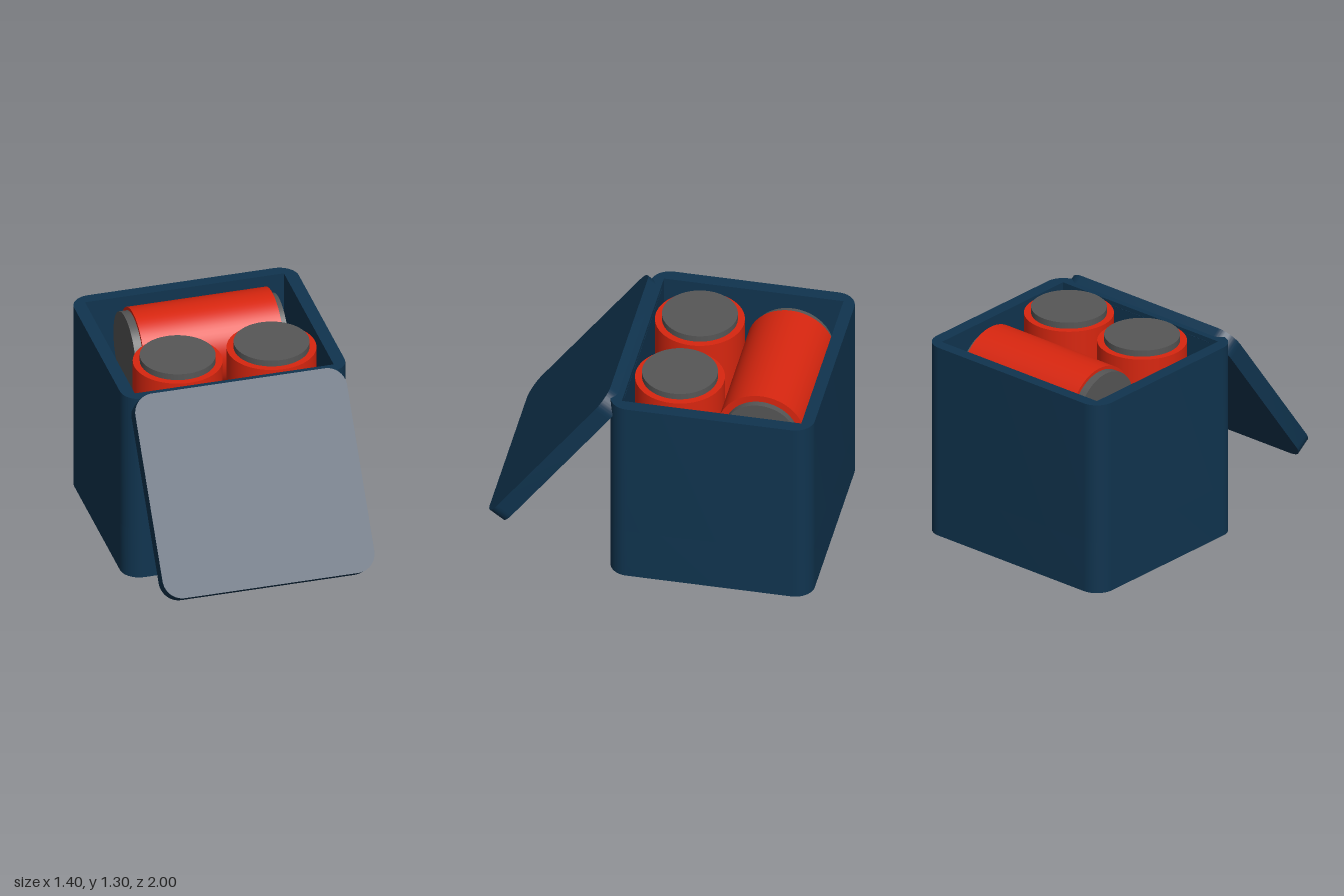
import * as THREE from 'three';
import { toCreasedNormals } from 'three/addons/utils/BufferGeometryUtils.js';

const navy = new THREE.MeshStandardMaterial({ name: 'navy', color: 0x10344f });
const red = new THREE.MeshStandardMaterial({ name: 'red', color: 0xd8260f });
const grey = new THREE.MeshStandardMaterial({ name: 'grey', color: 0x565656 });

function addMesh(parent, name, geometry, material) {
  const mesh = new THREE.Mesh(geometry, material);
  mesh.name = name;
  parent.add(mesh);
  return mesh;
}

// Rounded rectangle centred on the origin
function roundedRect(width, height, r) {
  const x = width / 2, y = height / 2;
  const shape = new THREE.Shape();
  shape.moveTo(-x + r, -y);
  shape.absarc(x - r, -y + r, r, -Math.PI / 2, 0);
  shape.absarc(x - r, y - r, r, 0, Math.PI / 2);
  shape.absarc(-x + r, y - r, r, Math.PI / 2, Math.PI);
  shape.absarc(-x + r, -y + r, r, Math.PI, Math.PI * 1.5);
  shape.closePath();
  return shape;
}

function extrude(shape, depth) {
  const geometry = new THREE.ExtrudeGeometry(shape, { depth, bevelEnabled: false, curveSegments: 12 });
  return toCreasedNormals(geometry, 0.6);
}

// Canister standing on y = 0, with a wide lower cap and a narrower upper cap
function createCanister(name) {
  const can = new THREE.Group();
  can.name = name;
  const parts = [
    ['lowerCap', 0.25, 0, 0.05, grey],
    ['canisterBody', 0.27, 0.05, 0.92, red],
    ['upperCap', 0.228, 0.92, 0.96, grey],
  ];
  for (const [part, radius, from, to, material] of parts) {
    const geometry = new THREE.CylinderGeometry(radius, radius, to - from, 64);
    addMesh(can, part, geometry, material).position.y = (from + to) / 2;
  }
  return can;
}

export function createModel() {
  const model = new THREE.Group();
  model.name = 'canisterBox';
  const floorY = 0.333, boxHeight = 1.25, boxZ = -0.375;

  // Box: solid base and hollow walls with a square-cornered cavity
  const base = addMesh(model, 'boxBase', extrude(roundedRect(1.4, 1.25, 0.12), floorY), navy);
  const wallShape = roundedRect(1.4, 1.25, 0.12);
  wallShape.holes.push(new THREE.Path([
    new THREE.Vector2(-0.62, -0.55), new THREE.Vector2(-0.62, 0.55),
    new THREE.Vector2(0.62, 0.55), new THREE.Vector2(0.62, -0.55),
  ]));
  const walls = addMesh(model, 'boxWalls', extrude(wallShape, boxHeight - floorY), navy);
  for (const part of [base, walls]) {
    part.rotation.x = -Math.PI / 2;
    part.position.z = boxZ;
  }
  walls.position.y = floorY;

  // Lid leaning against the front rim
  const lidGeometry = extrude(roundedRect(1.32, 1.248, 0.12), 0.107).translate(0, 0, -0.0535);
  const lid = addMesh(model, 'lid', lidGeometry, navy);
  lid.rotation.x = -0.635;
  lid.position.set(0, 0.751, 0.587);

  // Two upright canisters and one lying behind them
  for (const [name, x] of [['rightCanister', -0.27], ['leftCanister', 0.315]]) {
    const can = createCanister(name);
    can.position.set(x, floorY, -0.118);
    model.add(can);
  }
  const lying = createCanister('lyingCanister');
  lying.rotation.z = -Math.PI / 2;
  lying.position.set(-0.45, 1.03, -0.65);
  model.add(lying);

  return model;
}
